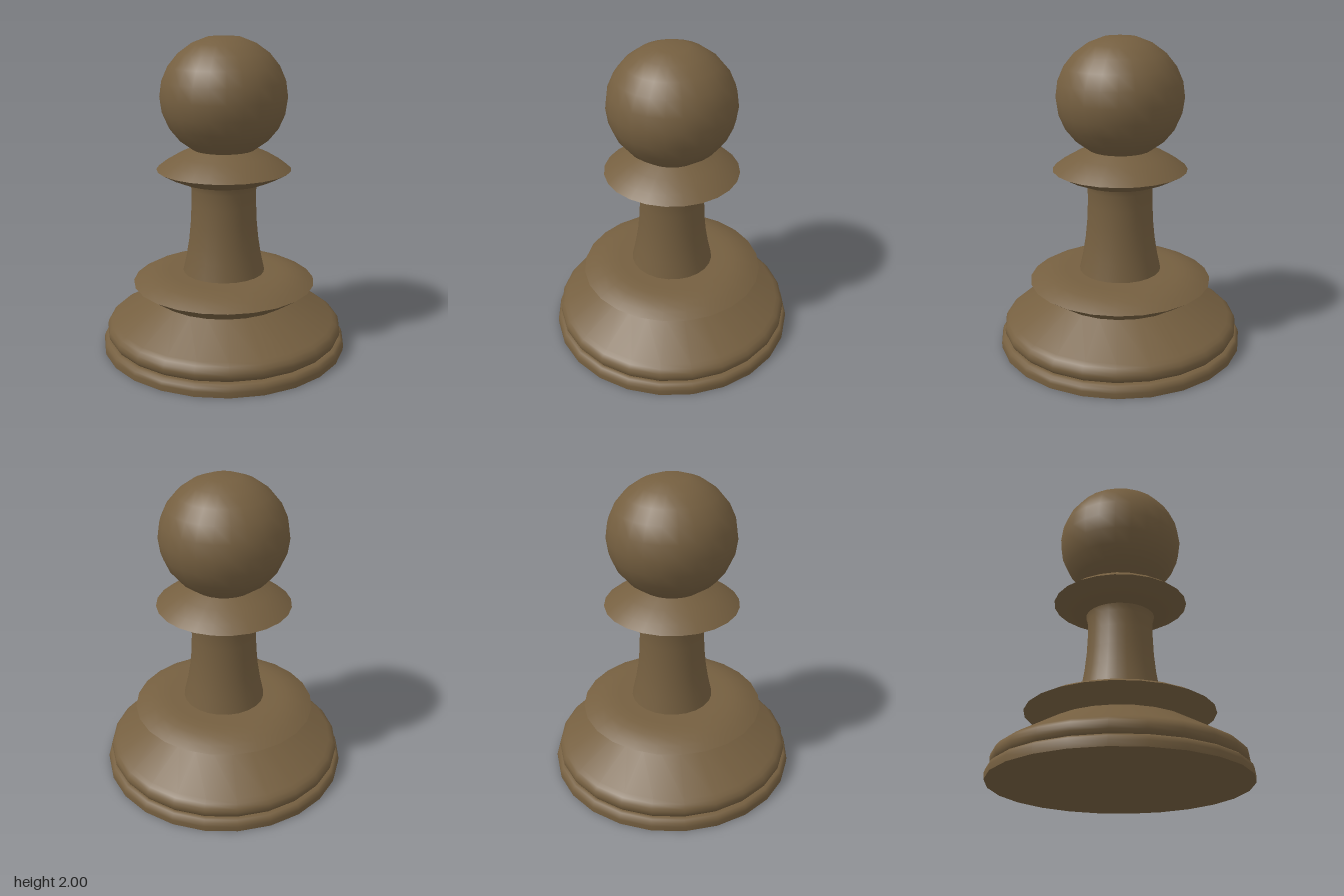
import * as THREE from 'three';

const SIDES = 24;

export function createModel() {
  const model = new THREE.Group();
  const wood = new THREE.MeshStandardMaterial({ color: 0x755f40 });
  wood.name = 'brown wood';

  // One turned section; points run from bottom to top as [radius, height]
  const turn = (name, points) => {
    const profile = points.map(([r, y]) => new THREE.Vector2(r, y));
    const mesh = new THREE.Mesh(new THREE.LatheGeometry(profile, SIDES), wood);
    mesh.name = name;
    model.add(mesh);
  };

  // Foot: flat underside, rounded rim and the shelf under the skirt
  turn('footUnderside', [[0, 0], [0.795, 0]]);
  turn('footRim', [[0.795, 0], [0.797, 0.035], [0.79, 0.058], [0.775, 0.072], [0.755, 0.075]]);
  turn('footShelf', [[0.755, 0.075], [0.735, 0.075]]);

  // Skirt: rounded lower lip and a cone above it
  turn('skirt', [[0.735, 0.075], [0.755, 0.083], [0.767, 0.102], [0.77, 0.125],
    [0.765, 0.15], [0.745, 0.172], [0.72, 0.188], [0.455, 0.34]]);

  // Lower ring: sharp edge with a domed top
  turn('lowerRingUnderside', [[0.455, 0.34], [0.59, 0.432]]);
  turn('lowerRingTop', [[0.59, 0.432], [0.54, 0.46], [0.48, 0.483], [0.42, 0.496],
    [0.36, 0.5], [0.265, 0.5]]);

  // Stem flaring at both ends
  turn('stem', [[0.265, 0.5], [0.243, 0.6], [0.225, 0.71], [0.213, 0.83],
    [0.208, 0.95], [0.208, 1.05], [0.22, 1.092]]);

  // Collar: sharp edge, curved below and above
  turn('collarUnderside', [[0.22, 1.092], [0.28, 1.106], [0.35, 1.135], [0.428, 1.178]]);
  turn('collarTop', [[0.428, 1.178], [0.37, 1.222], [0.29, 1.269], [0.2, 1.308]]);

  // Head: slightly squashed ball with a small flat crown
  const head = [];
  for (let i = 10; i >= 1; i--) {
    const a = (i * Math.PI) / 12;
    head.push([0.4 * Math.sin(a), 1.635 + 0.378 * Math.cos(a)]);
  }
  head.push([0, 2]);
  turn('head', head);

  return model;
}
